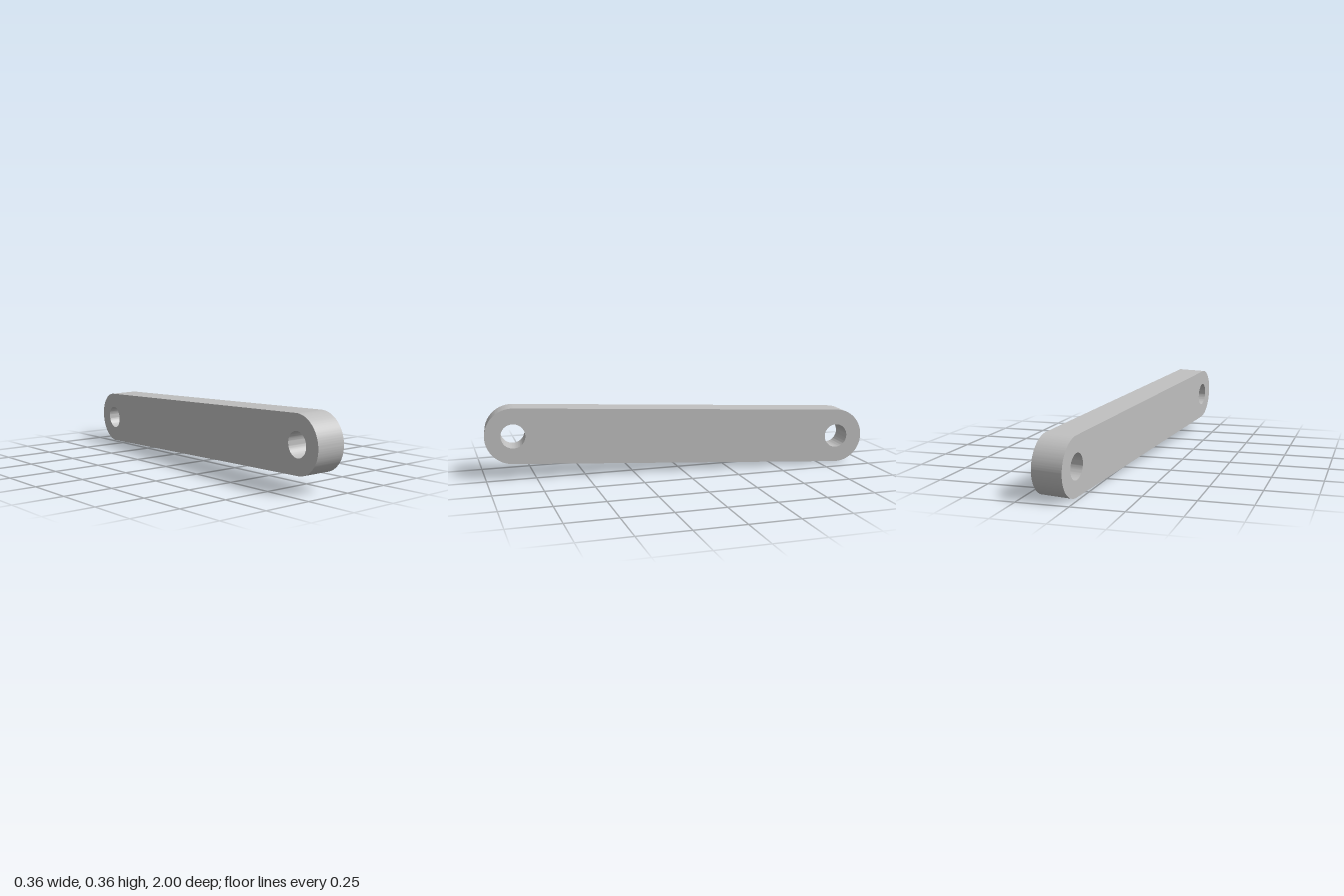
import * as THREE from 'three';
import { toCreasedNormals } from 'three/addons/utils/BufferGeometryUtils.js';

const HALF_SPAN = 0.8565; // bar centre to hole centre
const END_RADIUS = 0.1415;
const HOLE_RADIUS = 0.0615;
const THICKNESS = 0.148;

export function createModel() {
  const model = new THREE.Group();
  model.name = 'linkBar';
  const gray = new THREE.MeshStandardMaterial({ color: 0xc0c0c0 });
  gray.name = 'light gray';

  // Outline with two rounded ends
  const outline = new THREE.Shape();
  outline.absarc(HALF_SPAN, 0, END_RADIUS, -Math.PI / 2, Math.PI / 2, false);
  outline.absarc(-HALF_SPAN, 0, END_RADIUS, Math.PI / 2, Math.PI * 1.5, false);
  outline.closePath();

  // Pin hole near each end
  for (const side of [-1, 1]) {
    const hole = new THREE.Path();
    hole.absarc(side * HALF_SPAN, 0, HOLE_RADIUS, 0, Math.PI * 2, true);
    outline.holes.push(hole);
  }

  const solid = new THREE.ExtrudeGeometry(outline, {
    depth: THICKNESS, bevelEnabled: false, curveSegments: 40,
  });
  solid.translate(0, 0, -THICKNESS / 2);
  const bar = new THREE.Mesh(toCreasedNormals(solid, 0.5), gray);
  bar.name = 'bar';

  // Slightly skewed pose: length runs front to back, flat faces look sideways
  const along = new THREE.Vector3(0.105, -0.043, -0.9935).normalize();
  const up = new THREE.Vector3(0.994, 0.028, 0.104).cross(along).normalize();
  const across = along.clone().cross(up);
  bar.quaternion.setFromRotationMatrix(new THREE.Matrix4().makeBasis(along, up, across));
  bar.position.y = 0.1805;

  model.add(bar);
  return model;
}
